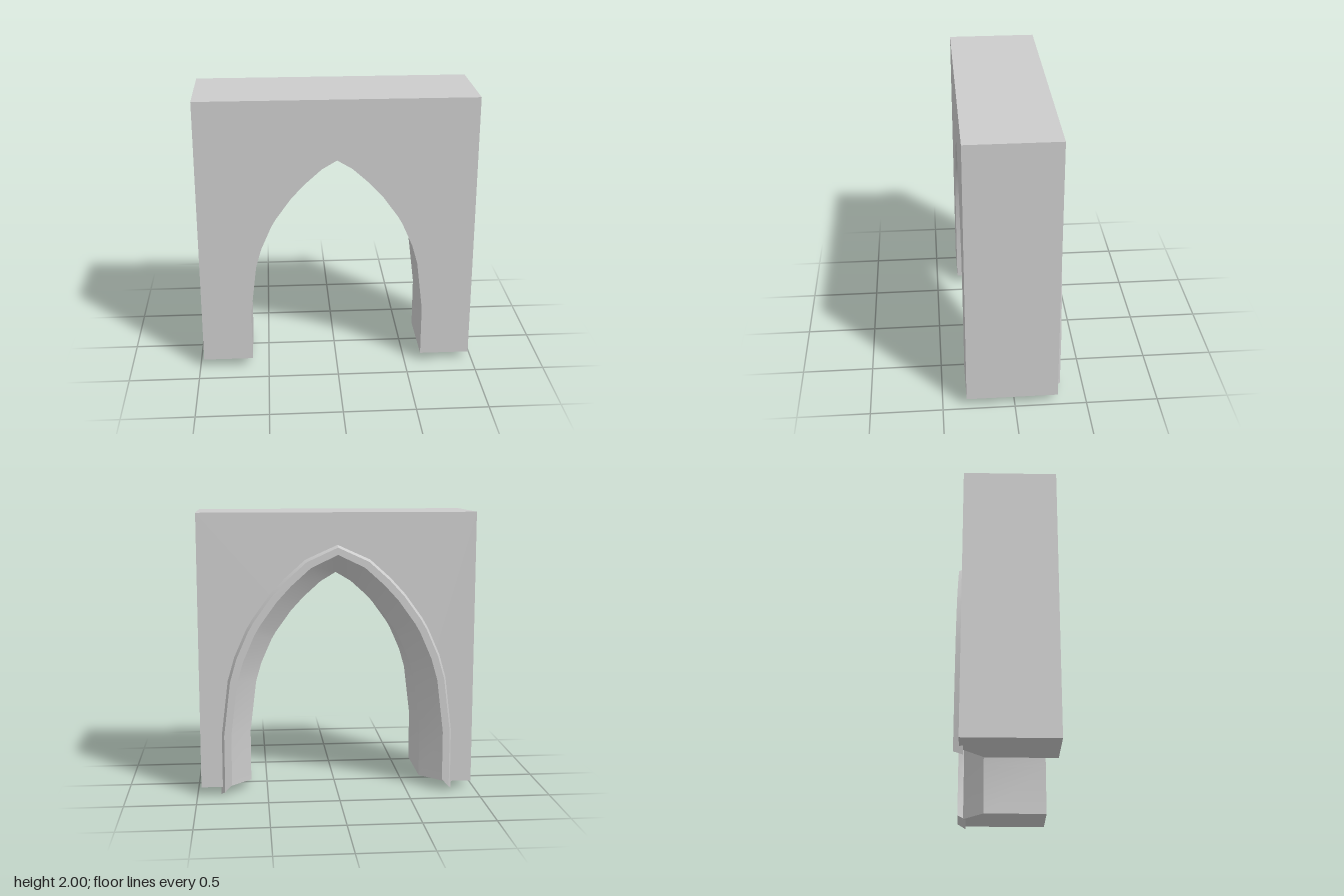
import * as THREE from 'three';
import { mergeGeometries, toCreasedNormals } from 'three/addons/utils/BufferGeometryUtils.js';

const HALF = 0.972, TOP = 2, BASE = 0.06, FRONT = 0.335, BACK = -0.3;

// Half of the pointed arch, from the foot up to the apex
const half = [[0.617, BASE], [0.617, 0.43], [0.573, 0.79], [0.534, 0.926], [0.46, 1.095],
  [0.428, 1.15], [0.32, 1.3], [0.228, 1.4], [0.106, 1.51], [0, 1.573]];
const arch = [...half, ...half.slice(0, -1).reverse().map(([x, y]) => [-x, y])]
  .map(([x, y]) => new THREE.Vector2(x, y));

// Arch pushed outwards by d along its averaged normals, at depth z
function archRow(d, z, footY = BASE) {
  const last = arch.length - 1;
  return arch.map((p, i) => {
    const unit = (a, b) => b.clone().sub(a).normalize();
    const t = new THREE.Vector2();
    if (i > 0) t.add(unit(arch[i - 1], p));
    if (i < last) t.add(unit(p, arch[i + 1]));
    t.normalize();
    const y = i === 0 || i === last ? footY : p.y - t.x * d;
    return new THREE.Vector3(p.x + t.y * d, y, z);
  });
}

// Quads between neighbouring rows; faces point along (row direction) x (row to row)
function loft(rows) {
  const pos = [];
  for (let j = 0; j < rows.length - 1; j++) {
    const A = rows[j], B = rows[j + 1];
    for (let i = 0; i < A.length - 1; i++) {
      for (const v of [A[i], A[i + 1], B[i], A[i + 1], B[i + 1], B[i]]) pos.push(v.x, v.y, v.z);
    }
  }
  const g = new THREE.BufferGeometry();
  g.setAttribute('position', new THREE.Float32BufferAttribute(pos, 3));
  return g;
}

// Flat wall face cut out by an arch row
function wallFace(row, z, back) {
  const shape = new THREE.Shape([
    ...row.map((p) => new THREE.Vector2(p.x, p.y)),
    new THREE.Vector2(-HALF, BASE), new THREE.Vector2(-HALF, TOP),
    new THREE.Vector2(HALF, TOP), new THREE.Vector2(HALF, BASE)]);
  let g = new THREE.ShapeGeometry(shape).toNonIndexed();
  g.deleteAttribute('uv');
  g.deleteAttribute('normal');
  if (back) g.rotateY(Math.PI); // symmetric outline, so turning it round is enough
  return g.translate(0, 0, z);
}

function createModel() {
  const group = new THREE.Group();
  const material = new THREE.MeshStandardMaterial({ color: 0xcccccc });
  const add = (name, parts) => {
    const mesh = new THREE.Mesh(toCreasedNormals(mergeGeometries(parts), 0.5), material);
    mesh.name = name;
    group.add(mesh);
  };

  // Opening: straight soffit, then a splay widening towards the back
  const soffit = [archRow(0, FRONT), archRow(0, -0.14), archRow(0.16, BACK)];

  // Outer sides and top
  const outline = (z) => [[HALF, BASE], [HALF, TOP], [-HALF, TOP], [-HALF, BASE]]
    .map(([x, y]) => new THREE.Vector3(x, y, z));

  // Undersides of the two legs
  const foot = (i) => soffit.map((row) => row[i]);
  const edge = (s) => soffit.map((row) => new THREE.Vector3(s * HALF, BASE, row[0].z));
  add('archWall', [
    wallFace(soffit[0], FRONT, false),
    wallFace(soffit[2], BACK, true),
    loft([outline(BACK), outline(FRONT)]),
    loft([foot(0), edge(1)]),
    loft([edge(-1), foot(arch.length - 1)]),
  ]);
  add('archSoffit', [loft(soffit)]);

  // Raised moulding around the back of the opening, feet cut at a slant
  const ribs = [[0.16, -0.275], [0.137, -0.337], [0.187, -0.337], [0.215, -0.275]]
    .map(([d, z]) => archRow(d, z, (0.215 - d) * 1.09));
  const end = (i, a, b) => [ribs[a][i], ribs[b][i]];
  const last = arch.length - 1;
  add('backMoulding', [
    loft([...ribs, ribs[0]]),
    loft([end(0, 0, 1), end(0, 3, 2)]),
    loft([end(last, 3, 2), end(last, 0, 1)]),
  ]);
  return group;
}

export { createModel };
